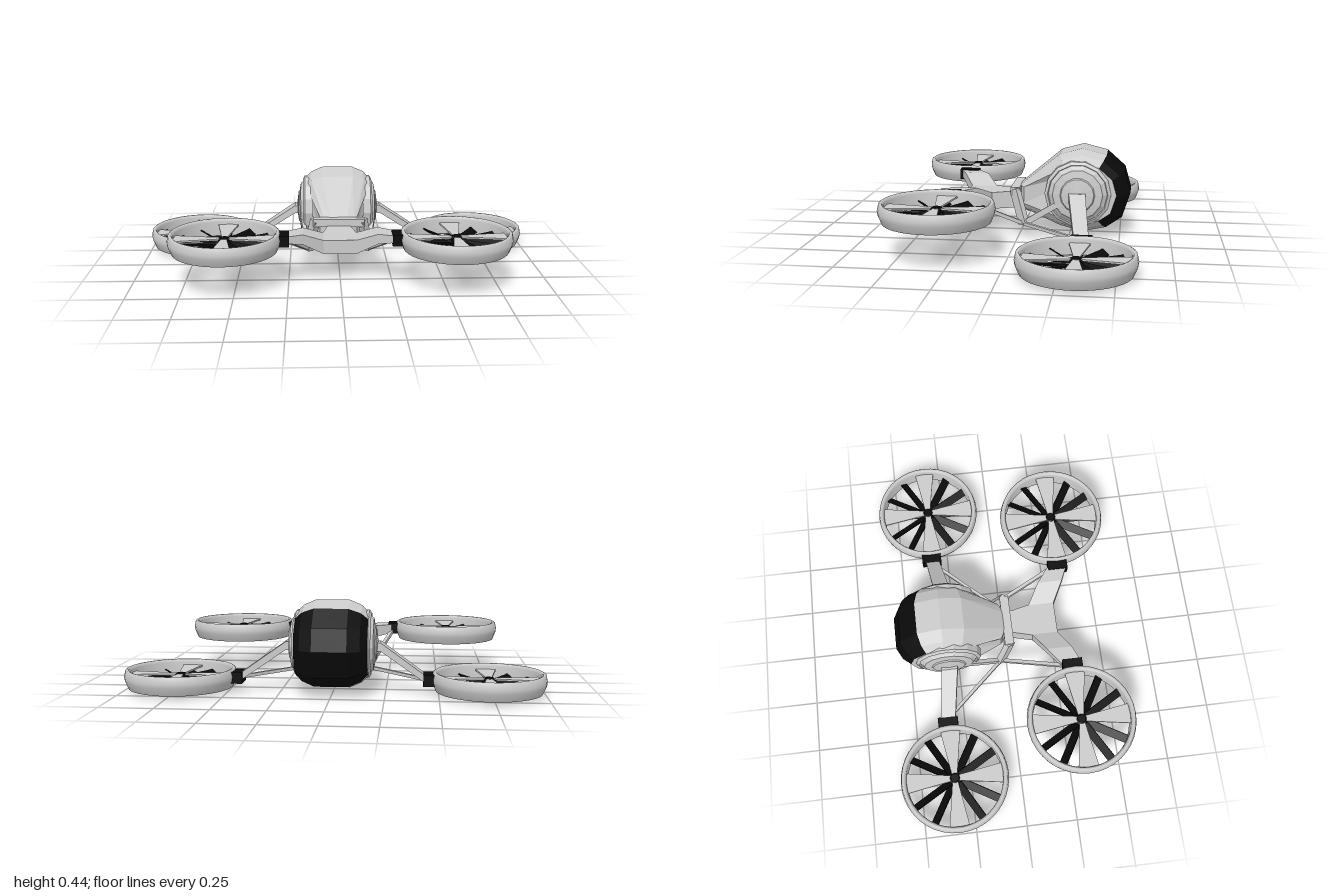
import * as THREE from 'three';

const grey = new THREE.MeshStandardMaterial({ color: 0xcccccc, flatShading: true, side: THREE.DoubleSide });
const smooth = new THREE.MeshStandardMaterial({ color: 0xcccccc, side: THREE.DoubleSide });
const black = new THREE.MeshStandardMaterial({ color: 0x0a0a0a, flatShading: true, side: THREE.DoubleSide });
const V = (x, y, z) => new THREE.Vector3(x, y, z);

function add(parent, name, geo, mat) {
  const m = new THREE.Mesh(geo, mat);
  m.name = name;
  parent.add(m);
  return m;
}

// Faceted skin over closed loops; keep(j) selects strips along the loop
function loft(loops, keep = () => true, caps = true) {
  const pos = [];
  const tri = (a, b, c) => pos.push(...a.toArray(), ...b.toArray(), ...c.toArray());
  const n = loops[0].length;
  for (let i = 0; i < loops.length - 1; i++) {
    for (let j = 0; j < n; j++) {
      if (!keep(j)) continue;
      const k = (j + 1) % n, A = loops[i], B = loops[i + 1];
      tri(A[j], A[k], B[k]);
      tri(A[j], B[k], B[j]);
    }
  }
  if (caps) {
    const S = loops[0], E = loops[loops.length - 1];
    for (let j = 1; j < n - 1; j++) {
      tri(S[0], S[j + 1], S[j]);
      tri(E[0], E[j], E[j + 1]);
    }
  }
  const g = new THREE.BufferGeometry();
  g.setAttribute('position', new THREE.Float32BufferAttribute(pos, 3));
  g.computeVertexNormals();
  return g;
}

// Rectangular bar between two points, w wide and h deep
function bar(parent, name, a, b, w, h, mat = grey) {
  const m = add(parent, name, new THREE.BoxGeometry(w, h, a.distanceTo(b)), mat);
  m.position.copy(a).add(b).multiplyScalar(0.5);
  m.lookAt(b);
  return m;
}

// Ducted fan: ring, four grey vanes, twelve pitched black blades and a hub
function createFan() {
  const fan = new THREE.Group();
  const ring = [[0.238, -0.04], [0.245, -0.045], [0.25, -0.045], [0.265, -0.008], [0.268, 0.012], [0.262, 0.04],
    [0.254, 0.045], [0.246, 0.043], [0.24, 0.03], [0.238, -0.04]].map(p => new THREE.Vector2(...p));
  add(fan, 'ductRing', new THREE.LatheGeometry(ring, 40), smooth);
  for (let i = 0; i < 4; i++) {
    const s = new THREE.Shape([[0.02, -0.014], [0.24, -0.05], [0.24, 0.05], [0.02, 0.014]].map(p => new THREE.Vector2(...p)));
    const g = new THREE.ExtrudeGeometry(s, { depth: 0.008, bevelEnabled: false });
    g.rotateX(-Math.PI / 2).translate(0, 0.008, 0).rotateY(i * Math.PI / 2);
    add(fan, 'vane', g, grey);
  }
  for (let i = 0; i < 12; i++) {
    const g = new THREE.BoxGeometry(0.215, 0.006, 0.042);
    g.rotateX(0.6).translate(0.13, -0.014, 0).rotateY(i * Math.PI / 6);
    add(fan, 'blade', g, black);
  }
  const hub = [[0, -0.062], [0.016, -0.062], [0.032, -0.045], [0.032, 0.01], [0.02, 0.02], [0, 0.02]];
  add(fan, 'hub', new THREE.LatheGeometry(hub.map(p => new THREE.Vector2(...p)), 12), black);
  return fan;
}

export function createModel() {
  const model = new THREE.Group();

  // Cabin pod: side outline repeated across the width, shrinking to the sides and narrowing to the nose
  const outline = [[-0.43, 0.41], [-0.31, 0.44], [-0.2, 0.41], [0, 0.245], [0, 0.13], [-0.2, 0.05],
    [-0.31, 0.02], [-0.43, 0.045], [-0.51, 0.1], [-0.55, 0.225], [-0.52, 0.33]];
  const layers = [[-0.17, 0.72], [-0.138, 0.88], [-0.08, 1], [0.08, 1], [0.138, 0.88], [0.17, 0.72]];
  const loops = layers.map(([x, s]) => outline.map(([z, y]) => {
    const nose = z > -0.05;
    const sz = nose ? 0.75 + 0.25 * s : s;
    return V(x * (nose ? 0.56 : 1), 0.23 + (y - 0.23) * s, -0.31 + (z + 0.31) * sz);
  }));
  add(model, 'podShell', loft(loops, j => j < 7), grey);
  add(model, 'podRearPanel', loft(loops, j => j >= 7, false), black);

  // Front boom: a bent wing with a tongue running back to the nose
  const stations = [[-0.26, 0.26, 0.36, 0.205, 0.25], [-0.18, 0.2, 0.325, 0.19, 0.25], [-0.08, 0.14, 0.27, 0.125, 0.205],
    [0.08, 0.14, 0.27, 0.125, 0.205], [0.18, 0.2, 0.325, 0.19, 0.25], [0.26, 0.26, 0.36, 0.205, 0.25]];
  add(model, 'frontBoom', loft(stations.map(([x, z0, z1, y0, y1]) =>
    [V(x, y1, z0), V(x, y1, z1), V(x, y0 + 0.012, z1), V(x, y0, z0)])), grey);
  const tongue = [[-0.03, 0.06, 0.13, 0.21], [0.05, 0.06, 0.125, 0.21], [0.15, 0.085, 0.122, 0.205]];
  add(model, 'boomTongue', loft(tongue.map(([z, w, y0, y1]) =>
    [V(w, y0, z), V(w, y1, z), V(-w, y1, z), V(-w, y0, z)])), grey);

  // Collar across the nose
  bar(model, 'collarTop', V(-0.13, 0.225, 0.018), V(0.13, 0.225, 0.018), 0.045, 0.04);

  for (const s of [1, -1]) {
    // Stepped round cover on the pod side
    const cover = [[0.165, 0.13], [0.162, 0.172], [0.147, 0.182], [0.143, 0.174], [0.13, 0.184], [0.122, 0.194],
      [0.085, 0.2], [0.08, 0.206], [0, 0.216]].map(p => new THREE.Vector2(...p));
    const c = add(model, 'sideCover', new THREE.LatheGeometry(cover, 14), grey);
    c.position.set(0, 0.23, -0.295);
    c.rotation.z = -s * Math.PI / 2;

    // Collar sides and frame struts
    const foot = V(s * 0.155, 0.07, -0.03);
    bar(model, 'collarSide', V(s * 0.12, 0.235, 0.02), foot, 0.03, 0.045);
    bar(model, 'frontStrut', foot, V(s * 0.265, 0.215, 0.28), 0.018, 0.018);
    bar(model, 'rearStrut', foot, V(s * 0.43, 0.07, -0.33), 0.016, 0.016);
    bar(model, 'pivotStrut', foot, V(s * 0.2, 0.23, -0.275), 0.02, 0.03);

    // Rear arm: short shoulder, then a tapering drop to the fan
    const arm = [[0.17, 0.2, 0.24, -0.335, -0.25], [0.225, 0.2, 0.24, -0.335, -0.255], [0.44, 0.055, 0.09, -0.365, -0.295]]
      .map(([x, y0, y1, z0, z1]) => [V(s * x, y1, z0), V(s * x, y1, z1), V(s * x, y0, z1), V(s * x, y0, z0)]);
    add(model, 'rearArm', loft(s > 0 ? arm : arm.reverse()), grey);

    // Fans and their black mounts
    for (const [name, x, y, z, mx] of [['frontFan', 0.55, 0.22, 0.32, 0.272], ['rearFan', 0.735, 0.062, -0.328, 0.455]]) {
      const fan = createFan();
      fan.name = name;
      fan.position.set(s * x, y, z);
      model.add(fan);
      const mount = add(model, name + 'Mount', new THREE.BoxGeometry(0.055, 0.055, 0.1), black);
      mount.position.set(s * mx, y + 0.008, z - 0.005);
    }
  }
  return model;
}
